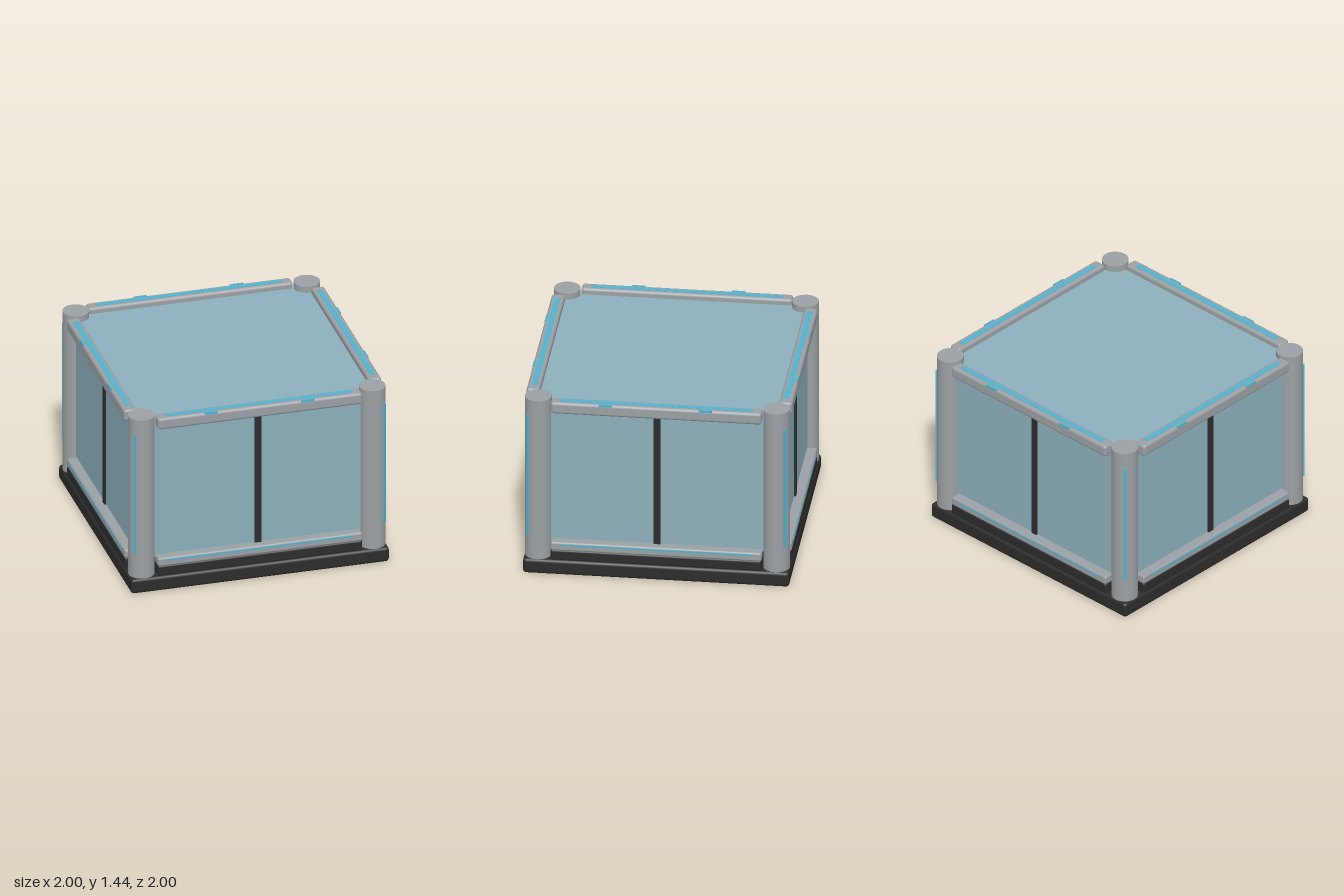
import * as THREE from 'three';
import { RoundedBoxGeometry } from 'three/addons/geometries/RoundedBoxGeometry.js';

const mat = (name, color) => Object.assign(new THREE.MeshStandardMaterial({ color }), { name });

export function createModel() {
  const metal = mat('grey metal', 0x9ba0a4);
  const dark = mat('dark frame', 0x2c2c2c);
  const glass = mat('blue glass', 0x8cafbb);
  const glow = mat('light strip blue', 0x52b2cc);

  const model = new THREE.Group();
  model.name = 'glassEnclosure';

  function add(parent, name, geometry, material, x, y, z) {
    const mesh = new THREE.Mesh(geometry, material);
    mesh.name = name;
    mesh.position.set(x, y, z);
    parent.add(mesh);
    return mesh;
  }
  const box = (w, h, d) => new THREE.BoxGeometry(w, h, d);
  const rounded = (w, h, d, r) => new RoundedBoxGeometry(w, h, d, 3, r);

  // Base slab and roof pane
  add(model, 'base', rounded(2, 0.12, 2, 0.025), dark, 0, 0.06, 0);
  add(model, 'roofPane', box(1.81, 0.02, 1.81), glass, 0, 1.38, 0);

  // Four identical walls, each built facing +z and turned into place
  for (let i = 0; i < 4; i++) {
    const wall = new THREE.Group();
    wall.name = ['frontWall', 'leftWall', 'backWall', 'rightWall'][i];
    wall.rotation.y = i * Math.PI / 2;
    model.add(wall);

    add(wall, 'sill', rounded(1.585, 0.085, 0.1, 0.015), dark, 0, 0.1625, 0.945);
    add(wall, 'lowerRail', rounded(1.585, 0.07, 0.1, 0.015), metal, 0, 0.235, 0.945);
    add(wall, 'lowerLightStrip', box(1.44, 0.012, 0.006), glow, 0, 0.25, 0.995);
    add(wall, 'wallPane', box(1.66, 1.12, 0.02), glass, 0, 0.81, 0.91);
    add(wall, 'mullion', box(0.05, 1.1, 0.035), dark, 0, 0.81, 0.917);
    add(wall, 'upperRail', rounded(1.585, 0.095, 0.1, 0.022), metal, 0, 1.39, 0.949);
    add(wall, 'upperLightStrip', box(1.44, 0.006, 0.04), glow, 0, 1.437, 0.947);

    // Small clips on the outer edge of the upper rail
    for (const x of [-0.38, 0.37]) {
      add(wall, 'railClip', box(0.1, 0.018, 0.016), glow, x, 1.431, 0.99);
    }
  }

  // Corner posts with a light strip on the outward diagonal
  for (const sx of [-1, 1]) {
    for (const sz of [-1, 1]) {
      const post = new THREE.Group();
      post.name = (sz > 0 ? 'front' : 'back') + (sx > 0 ? 'Left' : 'Right') + 'Post';
      post.position.set(sx * 0.895, 0, sz * 0.895);
      post.rotation.y = Math.atan2(sx, sz);
      model.add(post);
      add(post, 'column', new THREE.CylinderGeometry(0.1, 0.1, 1.32, 32), metal, 0, 0.78, 0);
      add(post, 'postLightStrip', box(0.022, 0.99, 0.02), glow, 0, 0.815, 0.1);
    }
  }
  return model;
}
